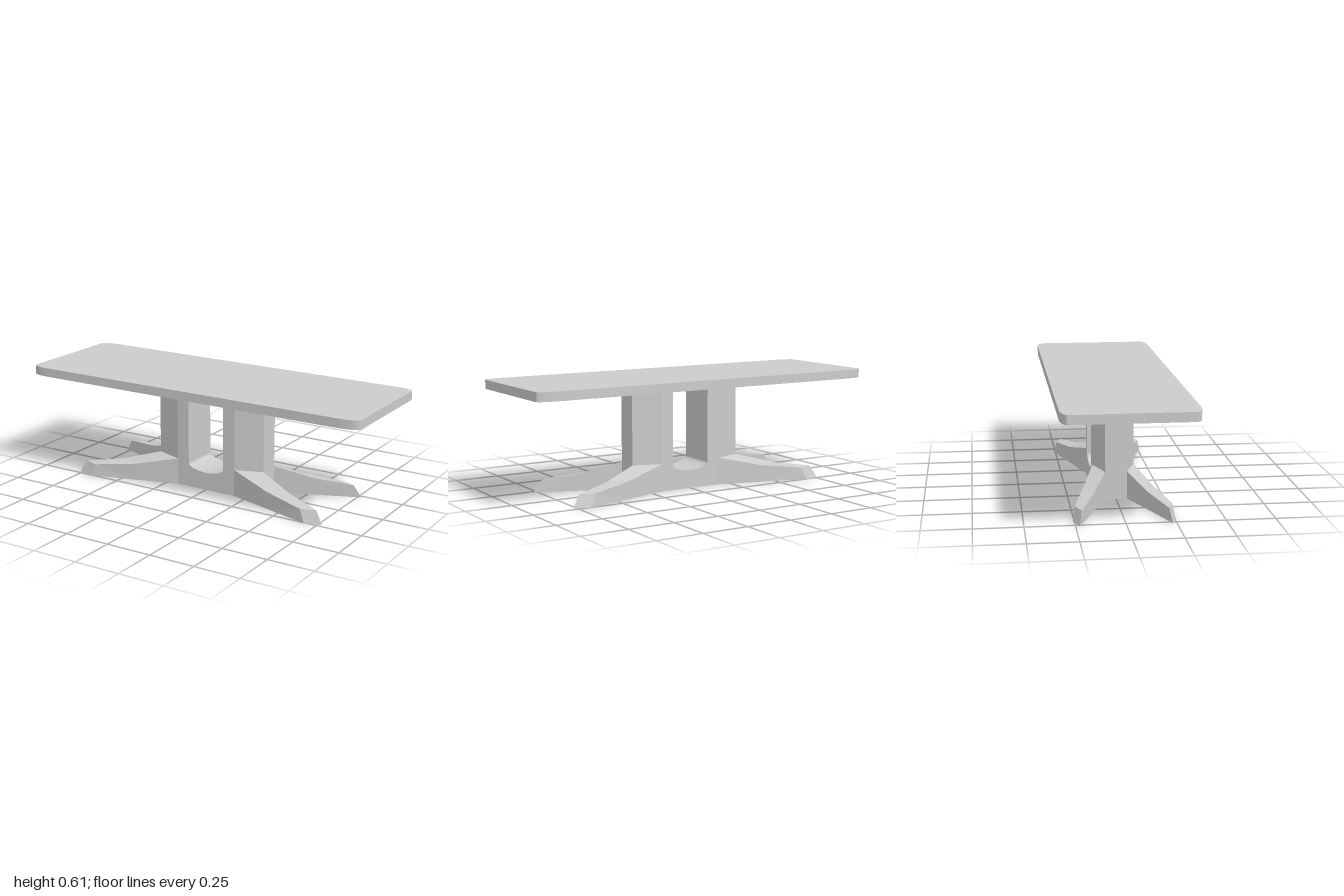
import * as THREE from 'three';

const TOP = 0.61, UNDER = 0.562, KNEE = 0.148, DEPTH = 0.11;
const material = new THREE.MeshStandardMaterial({ color: 0xcccccc, side: THREE.DoubleSide });

function part(name, geometry, parent) {
  const mesh = new THREE.Mesh(geometry, material);
  mesh.name = name;
  parent.add(mesh);
  return mesh;
}

// Surface between two polylines with equally many points
function strip(a, b, smooth = false) {
  const index = [];
  const n = a.length;
  for (let i = 0; i < n - 1; i++) index.push(i, i + 1, n + i + 1, i, n + i + 1, n + i);
  let g = new THREE.BufferGeometry();
  g.setAttribute('position', new THREE.Float32BufferAttribute([...a, ...b].flat(), 3));
  g.setIndex(index);
  if (!smooth) g = g.toNonIndexed();
  g.computeVertexNormals();
  return g;
}

// Slab with softly rounded, elliptical corners
function tabletop() {
  const w = 1, d = 0.336, rx = 0.11, rz = 0.036;
  const s = new THREE.Shape();
  s.moveTo(w, d - rz);
  s.absellipse(w - rx, d - rz, rx, rz, 0, Math.PI / 2);
  s.absellipse(-w + rx, d - rz, rx, rz, Math.PI / 2, Math.PI);
  s.absellipse(-w + rx, -d + rz, rx, rz, Math.PI, Math.PI * 1.5);
  s.absellipse(w - rx, -d + rz, rx, rz, Math.PI * 1.5, Math.PI * 2);
  const g = new THREE.ExtrudeGeometry(s, { depth: TOP - UNDER, bevelEnabled: false, curveSegments: 12 });
  return g.rotateX(-Math.PI / 2).translate(0, UNDER, 0);
}

// One splayed, tapering foot, open underneath
function foot() {
  const outer = [[0.18, KNEE, DEPTH], [0.42, 0.094, 0.181], [0.65, 0.067, 0.244]];
  const inner = [[0.33, KNEE, 0.057], [0.53, 0.094, 0.137], [0.73, 0.067, 0.216]];
  const ground = (line, tip) => [...line.slice(0, 2).map(([x, , z]) => [x, 0, z]), tip];
  const outerLow = ground(outer, [0.68, 0, 0.257]);
  const innerLow = ground(inner, [0.77, 0, 0.23]);
  const g = new THREE.Group();
  g.name = 'foot';
  part('footOuterSide', strip(outerLow, outer), g);
  part('footTop', strip(outer, inner), g);
  part('footInnerSide', strip(inner, innerLow), g);
  part('footTip', strip([outerLow[2], innerLow[2]], [outer[2], inner[2]]), g);
  return g;
}

export function createModel() {
  const model = new THREE.Group();
  model.name = 'table';
  part('tabletop', tabletop(), model);

  const pedestal = new THREE.Group();
  pedestal.name = 'pedestal';
  model.add(pedestal);

  // U-shaped opening between the columns
  const opening = [[-0.11, UNDER]];
  for (let i = 0; i <= 24; i++) {
    const t = Math.PI * (1 + i / 24);
    opening.push([0.11 * Math.cos(t), 0.135 + 0.036 * Math.sin(t)]);
  }
  opening.push([0.11, UNDER]);
  const at = (z) => opening.map(([x, y]) => [x, y, z]);
  part('saddle', strip(at(DEPTH), at(-DEPTH), true), pedestal);

  // Flat front and back panels following the opening
  const outline = [[0.18, UNDER], [-0.18, UNDER], [-0.18, 0], [0.18, 0]];
  const panel = new THREE.Shape([outline[2], outline[3], outline[0],
    ...opening.slice().reverse(), outline[1]].map(([x, y]) => new THREE.Vector2(x, y)));
  for (const side of [1, -1]) {
    const mesh = part(side > 0 ? 'frontPanel' : 'backPanel', new THREE.ShapeGeometry(panel), pedestal);
    mesh.position.z = side * DEPTH;
    if (side < 0) mesh.rotation.y = Math.PI;
  }

  // Outer column faces and feet, mirrored to all sides
  for (const sx of [1, -1]) {
    const end = part('columnEnd', strip(
      [[0.33, 0, 0.057], [0.33, 0, -0.057]],
      [[0.33, UNDER, 0.057], [0.33, UNDER, -0.057]]), pedestal);
    end.scale.x = sx;
    for (const sz of [1, -1]) {
      const corner = new THREE.Group();
      corner.name = 'columnCorner';
      part('columnBevel', strip(
        [[0.18, KNEE, DEPTH], [0.33, KNEE, 0.057]],
        [[0.18, UNDER, DEPTH], [0.33, UNDER, 0.057]]), corner);
      corner.add(foot());
      corner.scale.set(sx, 1, sz);
      pedestal.add(corner);
    }
  }
  return model;
}
